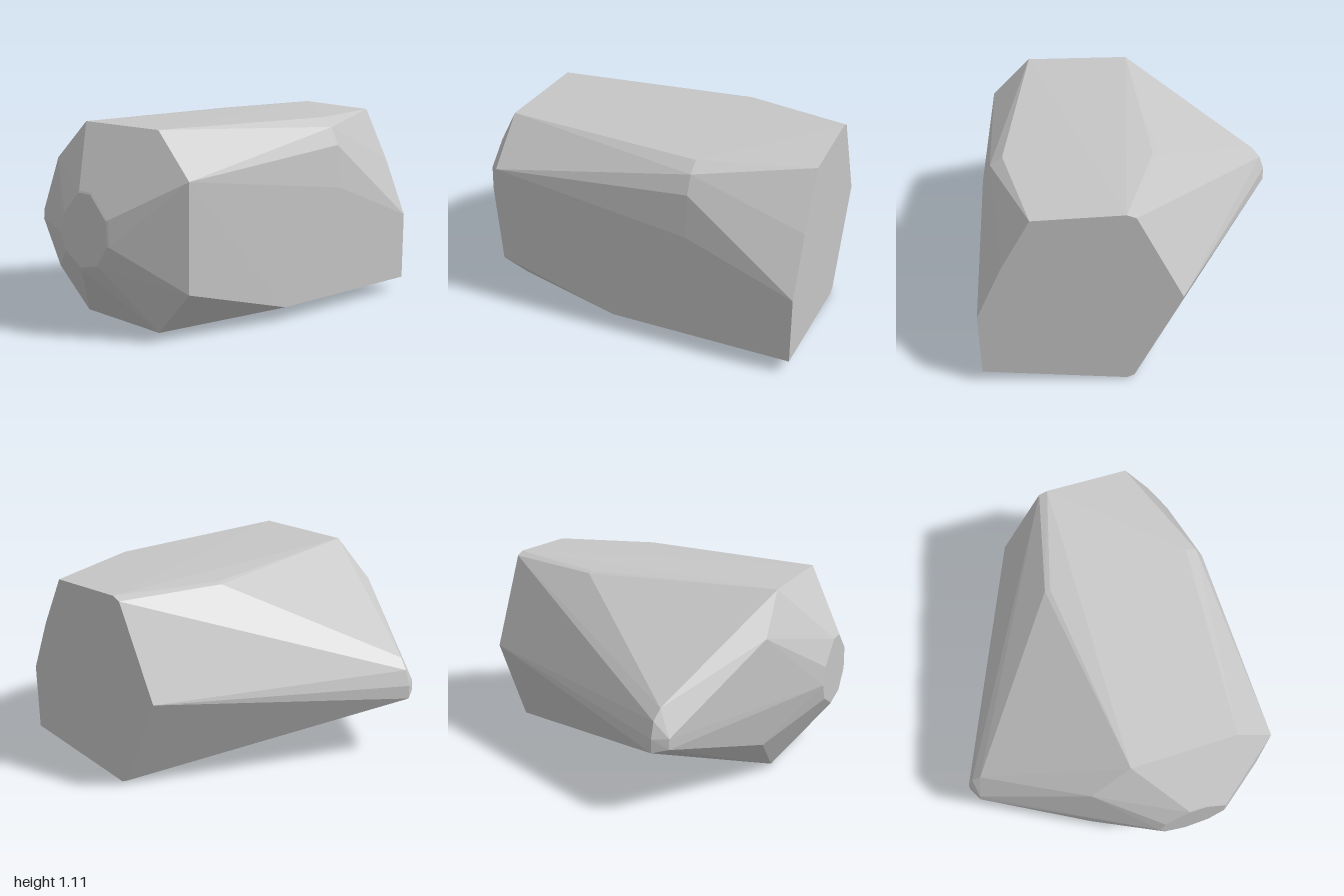
import * as THREE from 'three';
import { ConvexGeometry } from 'three/addons/geometries/ConvexGeometry.js';

const at = (z, pairs) => pairs.map(([x, y]) => new THREE.Vector3(x, y, z));

export function createModel() {
  const model = new THREE.Group();
  model.name = 'facetedStone';
  const stone = new THREE.MeshStandardMaterial({ color: 0xc6c6c6 });
  stone.name = 'stone grey';

  // outline of the small front facet, and a slightly smaller one for its worn rim
  const rim = [[0.13, 0.63], [0.27, 0.765], [0.38, 0.765], [0.51, 0.64], [0.52, 0.5],
    [0.43, 0.38], [0.28, 0.345], [0.14, 0.42], [0.1, 0.52]];
  const facet = rim.map(([x, y]) => [0.31 + (x - 0.31) * 0.95, 0.555 + (y - 0.555) * 0.95]);

  const corners = [
    ...at(1, facet),
    ...at(0.994, rim),
    // shoulder behind the front facet
    ...at(0.74, [[0, 1.09], [0.61, 1.09], [0.845, 0.85], [0.845, 0.27], [0.61, 0.02], [0, 0.02]]),
    ...at(0.77, [[-0.23, 0.87], [-0.23, 0.24]]),
    // blunt tip on the side
    ...at(0.385, [[-0.87, 0.37], [-0.87, 0.45], [-0.84, 0.54]]),
    ...at(0.4, [[-0.79, 0.6]]),
    ...at(0.47, [[-0.83, 0.39], [-0.825, 0.45]]),
    // worn edges along the body
    ...at(-0.4, [[-0.13, 1.08], [-0.1, 1.09], [0.72, 1.09], [0.79, 1.04],
      [0.835, 0.94], [0.86, 0.7], [-0.09, 0.025]]),
    ...at(-0.3, [[0.72, 0.025]]),
    ...at(0.04, [[0.86, 0.08]]),
    // large flat back
    ...at(-1, [[0.865, 0.08], [0.865, 0.47], [0.72, 0.79], [0.555, 1.09],
      [0.07, 1.11], [0.02, 1.09], [-0.23, 0.57], [0.03, 0.02], [0.07, 0]]),
  ];

  const body = new THREE.Mesh(new ConvexGeometry(corners), stone);
  body.name = 'stoneBody';
  model.add(body);
  return model;
}
